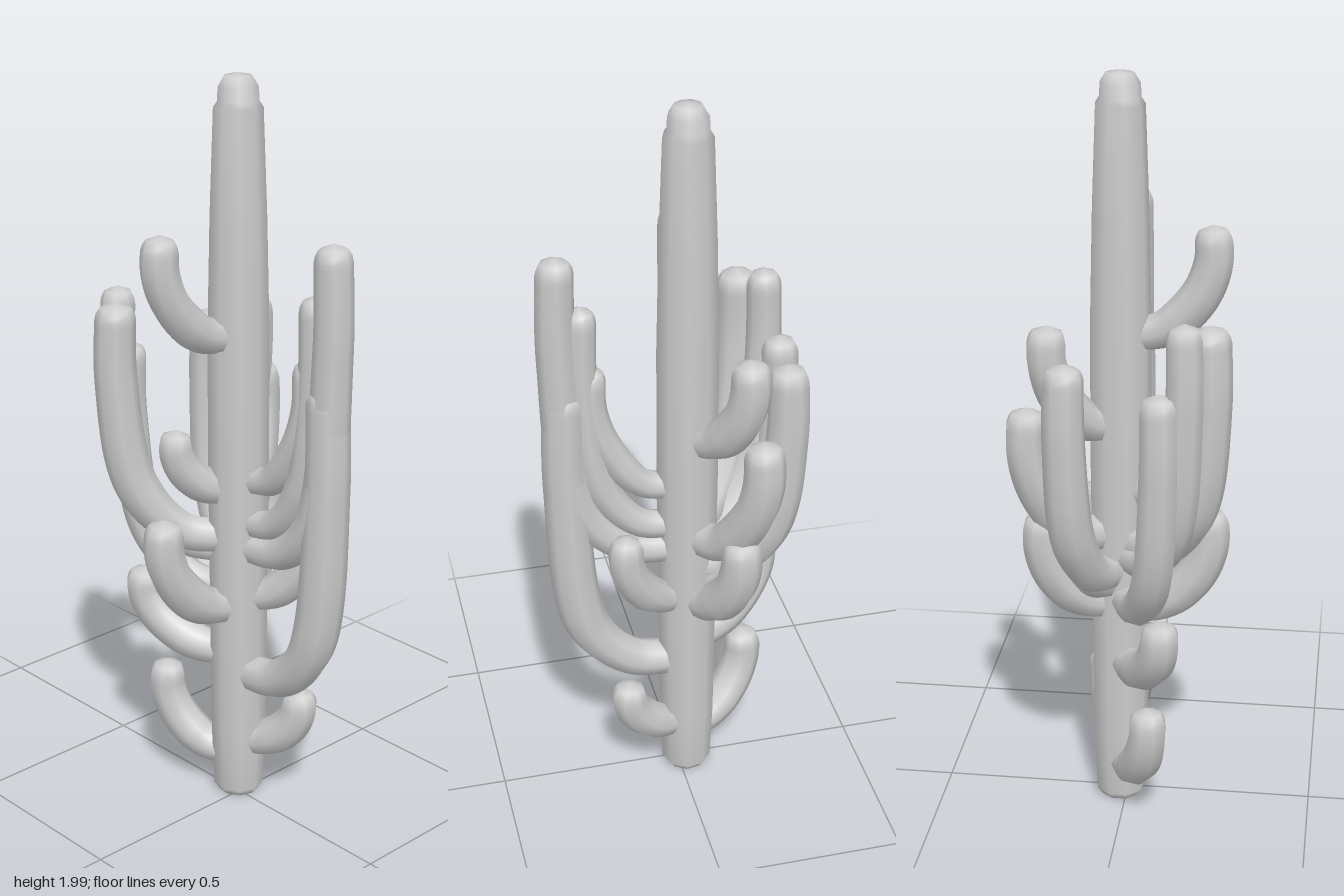
import * as THREE from 'three';
import { mergeVertices } from 'three/addons/utils/BufferGeometryUtils.js';

const CX = 0.018, CZ = -0.022; // trunk axis

// name, height of the joint on the trunk, tip x, y, z, thickness
const ARMS = [
  ['frontArm', 0.38, 0.02, 1.28, 0.297, 0.061],
  ['frontArm', 0.75, 0.02, 1.64, 0.308, 0.053],
  ['frontArm', 0.82, 0.02, 1.50, 0.25, 0.046],
  ['frontArm', 0.94, 0.02, 1.33, 0.225, 0.043],
  ['frontStub', 0.17, 0.078, 0.36, 0.15, 0.053],
  ['frontStub', 0.60, 0.10, 0.86, 0.157, 0.05],
  ['leftArm', 1.09, 0.185, 1.39, -0.14, 0.055],
  ['leftArm', 0.79, 0.235, 1.18, -0.165, 0.057],
  ['leftArm', 0.59, 0.205, 0.88, -0.12, 0.057],
  ['backLeftArm', 0.69, 0.128, 1.33, -0.255, 0.057],
  ['backLeftArm', 0.65, 0.12, 0.93, -0.18, 0.046],
  ['rightArm', 1.33, -0.215, 1.635, -0.05, 0.052],
  ['rightArm', 0.575, -0.215, 0.88, -0.05, 0.057],
  ['rightStub', 0.91, -0.14, 1.10, -0.085, 0.049],
  ['backRightArm', 0.77, -0.225, 1.43, -0.215, 0.058],
  ['backRightArm', 0.73, -0.168, 1.45, -0.272, 0.05],
  ['backRightArm', 0.61, -0.11, 1.28, -0.303, 0.053],
  ['backRightArm', 0.425, -0.11, 0.65, -0.252, 0.055],
  ['backStub', 0.115, -0.075, 0.37, -0.205, 0.054],
];

// Eight-sided tube that leaves the trunk almost level, bends upward and ends in a blunt tip
function armGeometry(startY, x, y, z, r) {
  const dx = x - CX, dz = z - CZ, h = y - startY;
  const at = (out, up) => new THREE.Vector3(CX + dx * out, startY + up, CZ + dz * out);
  const path = new THREE.CatmullRomCurve3([
    at(0.1, 0.005), at(0.5, Math.min(0.03, h * 0.1)), at(0.86, Math.min(0.16, h * 0.38)),
    at(1.01, h * 0.68), at(1, h),
  ]);
  const step = 0.015;
  const n = Math.round(path.getLength() / step);
  const geo = new THREE.TubeGeometry(path, n, 1, 8);
  const pos = geo.attributes.position, v = new THREE.Vector3();
  for (let i = 0; i < pos.count; i++) {
    const ring = Math.floor(i / 9), fromTip = n - ring;
    // thin at the joint, full in the bend, slightly slimmer toward the tip
    const t = ring / n;
    let s = r * (0.8 + 0.2 * Math.min(1, t * 3)) * (1 - 0.1 * Math.max(0, t - 0.5) * 2);
    s *= [0, 0.78, 0.94][fromTip] ?? 1;
    const c = path.getPointAt(t);
    v.fromBufferAttribute(pos, i).sub(c).multiplyScalar(s).add(c);
    pos.setXYZ(i, v.x, v.y, v.z);
  }
  return smooth(geo);
}

// Weld the seam and recompute smooth normals
function smooth(geo) {
  geo.deleteAttribute('uv');
  geo.deleteAttribute('normal');
  const welded = mergeVertices(geo, 1e-4);
  welded.computeVertexNormals();
  return welded;
}

export function createModel() {
  const group = new THREE.Group();
  group.name = 'cactus';
  const material = new THREE.MeshStandardMaterial({ color: 0xcccccc });
  const add = (name, geometry) => {
    const mesh = new THREE.Mesh(geometry, material);
    mesh.name = name;
    group.add(mesh);
    return mesh;
  };

  // Trunk with a narrow stepped crown
  const profile = [
    [0, 0.01], [0.055, 0.01], [0.068, 0.03], [0.075, 0.2], [0.078, 0.6], [0.081, 1.0],
    [0.08, 1.35], [0.073, 1.65], [0.063, 1.92], [0.053, 1.935], [0.051, 1.97], [0.036, 1.995], [0, 2],
  ].map(([r, y]) => new THREE.Vector2(r, y));
  add('trunk', smooth(new THREE.LatheGeometry(profile, 9))).position.set(CX, 0, CZ);

  // Arms
  for (const [name, ...spec] of ARMS) add(name, armGeometry(...spec));
  return group;
}
